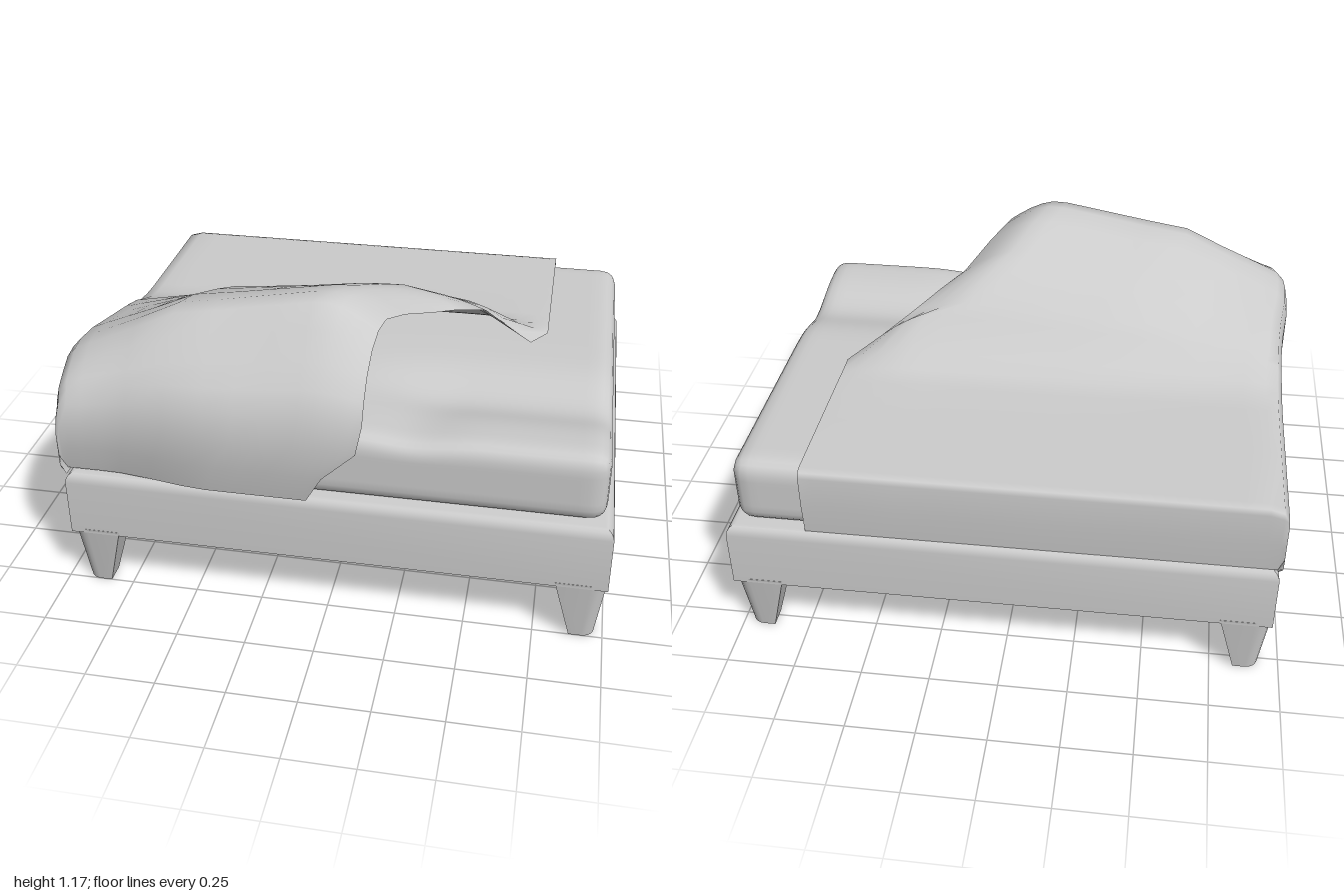
import * as THREE from 'three';
import { mergeVertices, toCreasedNormals } from 'three/addons/utils/BufferGeometryUtils.js';
import { ConvexGeometry } from 'three/addons/geometries/ConvexGeometry.js';

const { clamp, smoothstep, lerp } = THREE.MathUtils;
const CX = 0.0225, CZ = -0.025; // centre of the bed frame

// Piecewise linear lookup in [x, y] pairs
function lookup(pairs, x) {
  for (let i = 1; i < pairs.length; i++) {
    const [x0, y0] = pairs[i - 1], [x1, y1] = pairs[i];
    if (x <= x1) return lerp(y0, y1, clamp((x - x0) / (x1 - x0), 0, 1));
  }
  return pairs[pairs.length - 1][1];
}

// Box frame with a softened upper rim: a four-sided lathe
function frameGeometry() {
  const pts = [new THREE.Vector2(0, 0.235), new THREE.Vector2(1, 0.235)];
  for (let i = 0; i <= 4; i++) {
    const a = (i / 4) * Math.PI / 2;
    pts.push(new THREE.Vector2(0.965 + 0.035 * Math.cos(a), 0.45 + 0.04 * Math.sin(a)));
  }
  pts.push(new THREE.Vector2(0, 0.49));
  const geo = new THREE.LatheGeometry(pts.map(p => p.multiply(new THREE.Vector2(Math.SQRT2, 1))), 4);
  geo.rotateY(Math.PI / 4).scale(0.9775, 1, 0.805).translate(CX, 0, CZ);
  return toCreasedNormals(geo, 0.6);
}

// Tapered leg with a rounded outer corner
function legGeometry(sx, sz) {
  const pts = [];
  const ring = (y, inset, w, d, r) => {
    const ox = 0.9775 - inset, oz = 0.805 - inset;
    const add = (x, z) => pts.push(new THREE.Vector3(CX + sx * x, y, CZ + sz * z));
    add(ox - w, oz - d);
    add(ox, oz - d);
    add(ox - w, oz);
    for (let i = 0; i <= 5; i++) {
      const a = (i / 5) * Math.PI / 2;
      add(ox - r + r * Math.cos(a), oz - r + r * Math.sin(a));
    }
  };
  ring(0, 0.03, 0.09, 0.075, 0.045);
  ring(0.25, -0.001, 0.185, 0.155, 0.06);
  return toCreasedNormals(new ConvexGeometry(pts), 0.5);
}

// Soft mattress: a rounded box with a shallow sag in the top
function mattressGeometry() {
  const half = new THREE.Vector3(0.9475, 0.1325, 0.7625), r = 0.06;
  let geo = new THREE.BoxGeometry(half.x * 2, half.y * 2, half.z * 2, 56, 10, 46);
  geo.deleteAttribute('normal');
  geo.deleteAttribute('uv');
  geo = mergeVertices(geo);
  const pos = geo.attributes.position, p = new THREE.Vector3(), q = new THREE.Vector3();
  const inner = half.clone().subScalar(r);
  for (let i = 0; i < pos.count; i++) {
    p.fromBufferAttribute(pos, i);
    q.copy(p).clamp(inner.clone().negate(), inner);
    p.sub(q).setLength(r).add(q);
    const x = p.x + CX, z = p.z - 0.0225;
    const sag = 0.052 * Math.exp(-(((z - 0.36) / 0.15) ** 2)) * smoothstep(x, -0.1, 0.45)
      + 0.018 * Math.exp(-(((x - 0.3) / 0.14) ** 2)) * smoothstep(z, 0.3, 0.6);
    pos.setXYZ(i, x, 0.613 + p.y - sag * smoothstep(p.y, 0, half.y), z);
  }
  geo.computeVertexNormals();
  return geo;
}

// Blanket cross-sections: [z, bulge, drape (1 = on top, 0 = hem), right edge x, edge lift]
const ROWS = [
  [-0.812, 0, 0, 0.71, 0], [-0.822, 0, 0.45, 0.71, 0], [-0.822, 0, 0.9, 0.71, 0],
  [-0.815, 0, 0.98, 0.71, 0], [-0.79, 0, 1.005, 0.71, 0], [-0.5, 0, 1.005, 0.71, 0],
  [-0.25, 0.003, 1.005, 0.71, 0], [-0.17, 0.022, 1, 0.71, 0], [-0.1, 0.06, 1, 0.71, 0.03],
  [0, 0.165, 1, 0.65, 0.05], [0.04, 0.21, 1, 0.475, 0.72], [0.15, 0.285, 1, 0.38, 0.7],
  [0.25, 0.33, 1, 0.3, 0.7], [0.4, 0.39, 1, 0.22, 0.75], [0.5, 0.41, 1, 0.17, 0.78],
  [0.57, 0.4, 1, 0.155, 0.78], [0.64, 0.33, 1, 0.145, 0.82], [0.71, 0.245, 1, 0.14, 0.85],
  [0.77, 0.17, 1, 0.14, 0.85], [0.81, 0.13, 0.9, 0.14, 0.85], [0.827, 0.08, 0.7, 0.12, 0.9],
  [0.82, 0.05, 0.38, 0, 1], [0.8, 0, 0.04, -0.06, 1],
];
// Blanket columns from left hem to right edge: [fraction across, drape]
const COLS = [[0, 0], [0, 0.2], [0, 0.5], [0, 0.8], [0.012, 0.95]];
for (const u of [0.04, 0.09, 0.16, 0.24, 0.37, 0.5, 0.6, 0.7, 0.8, 0.85, 0.89, 0.93, 0.97, 1]) COLS.push([u, 1]);
const SWELL = [[0, 0.28], [0.06, 0.37], [0.24, 0.6], [0.37, 0.78], [0.5, 0.84], [0.81, 1], [1, 1]];

function blanketGeometry() {
  const verts = [], index = [], n = COLS.length;
  ROWS.forEach(([z, bulge, rowDrape, right, lift], i) => {
    COLS.forEach(([u, colDrape], j) => {
      const flare = 0.035 * Math.exp(-(((z - 0.48) / 0.22) ** 2));
      const left = j === 0 ? -0.945 : -0.963 - flare;
      const x = lerp(left, right, u);
      const s = Math.pow(clamp((u - 0.85) / 0.15, 0, 1), 1.5);
      const swell = lookup(SWELL, u) * lerp(1, lift, s);
      const y = 0.49 + rowDrape * colDrape * (0.267 + bulge * swell);
      const pull = z > 0.7 ? 0.05 * smoothstep(z, 0.7, 0.8) * (1 - smoothstep(x, -0.8, -0.4)) : 0;
      verts.push(x, y, z - pull);
      if (i && j) {
        const d = i * n + j, c = d - 1, b = d - n, a = b - 1;
        index.push(a, c, b, b, c, d);
      }
    });
  });
  const geo = new THREE.BufferGeometry();
  geo.setAttribute('position', new THREE.Float32BufferAttribute(verts, 3));
  geo.setIndex(index);
  geo.computeVertexNormals();
  return geo;
}

export function createModel() {
  const model = new THREE.Group();
  model.name = 'bed';
  const grey = new THREE.MeshStandardMaterial({ color: 0xcccccc, side: THREE.DoubleSide });
  grey.name = 'light grey';
  const add = (name, geo) => {
    const mesh = new THREE.Mesh(geo, grey);
    mesh.name = name;
    model.add(mesh);
  };
  add('bedFrame', frameGeometry());
  for (const [sx, side] of [[1, 'Left'], [-1, 'Right']]) {
    for (const [sz, end] of [[1, 'front'], [-1, 'back']]) add(`${end}${side}Leg`, legGeometry(sx, sz));
  }
  add('mattress', mattressGeometry());
  add('blanket', blanketGeometry());
  return model;
}
